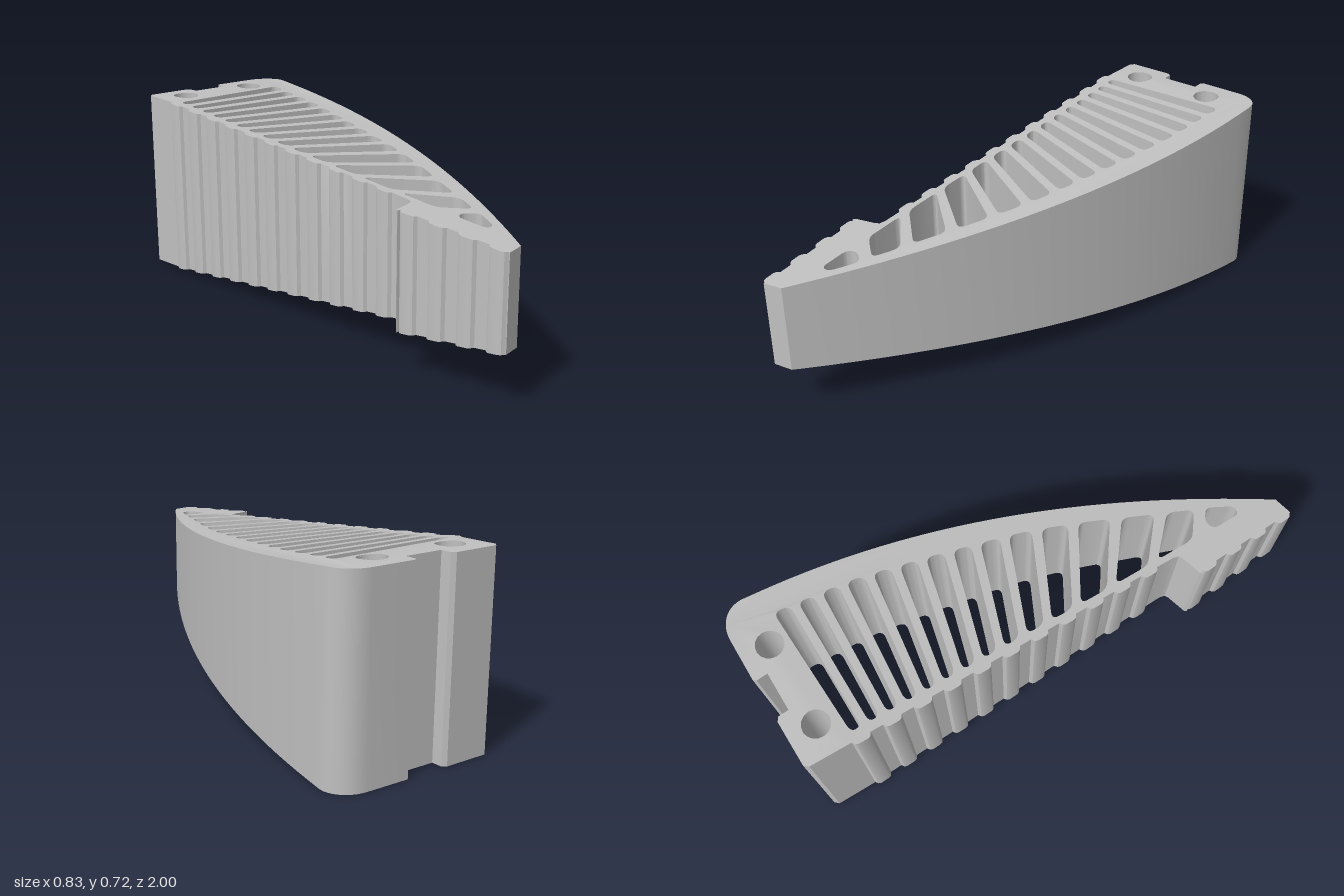
import * as THREE from 'three';
import { toCreasedNormals } from 'three/addons/utils/BufferGeometryUtils.js';

// Plan points are [x, z]; shapes are drawn with y = -z and laid flat afterwards.
const v = (x, z) => new THREE.Vector2(x, -z);

// Piecewise linear lookup in a list of [z, x] stations
function lookup(stations, z) {
  let i = 0;
  while (i < stations.length - 2 && z > stations[i + 1][0]) i++;
  const [z0, x0] = stations[i], [z1, x1] = stations[i + 1];
  return x0 + (x1 - x0) * (z - z0) / (z1 - z0);
}

// Closed path through corners, each rounded by about r
function roundedPath(corners, r) {
  const path = new THREE.Path();
  const n = corners.length;
  corners.forEach((c, i) => {
    const toward = (p) => {
      const d = p.clone().sub(c);
      return c.clone().addScaledVector(d.normalize(), Math.min(r, p.distanceTo(c) * 0.45));
    };
    const a = toward(corners[(i + n - 1) % n]);
    const b = toward(corners[(i + 1) % n]);
    if (i === 0) path.moveTo(a.x, a.y); else path.lineTo(a.x, a.y);
    path.quadraticCurveTo(c.x, c.y, b.x, b.y);
  });
  path.closePath();
  return path;
}

// Grip ridges along the straight side, running toward -z
function ridges(first, count, pitch, baseX) {
  const pts = [];
  for (let i = count - 1; i >= 0; i--) {
    const z = first + i * pitch;
    for (const [dz, out] of [[0.036, 0], [0.028, 0.012], [0.018, 0.016], [-0.018, 0.016], [-0.028, 0.012], [-0.036, 0]])
      pts.push(v(baseX(z + dz) - out, z + dz));
  }
  return pts;
}

function outline() {
  const pts = [];
  // Back edge with its notch
  for (const [x, z] of [[-0.225, -0.985], [-0.21, -1], [-0.035, -0.992], [-0.02, -0.98], [-0.02, -0.94],
    [0.13, -0.932], [0.13, -0.975], [0.14, -0.985]]) pts.push(v(x, z));
  // Rounded back corner
  pts.push(...new THREE.CubicBezierCurve(v(0.31, -0.975), v(0.37, -0.97), v(0.415, -0.93), v(0.413, -0.87)).getPoints(10));
  // Long curved side, ending at the blunt front tip
  pts.push(...new THREE.QuadraticBezierCurve(v(0.405, -0.8), v(0.303, 0.0925), v(-0.328, 0.988)).getPoints(32));
  pts.push(v(-0.4, 1));
  // Ridged nose, step, ridged straight side
  pts.push(...ridges(0.6, 4, 0.12, () => -0.399));
  pts.push(v(-0.413, 0.562), v(-0.405, 0.553), v(-0.325, 0.537), v(-0.31, 0.53), v(-0.303, 0.51));
  pts.push(...ridges(-0.79, 11, 0.119, (z) => -0.238 - 0.049 * (z + 0.8)));
  // Counter-clockwise, so that the hole walls face into the openings
  return new THREE.Shape(pts.reverse());
}

function openings() {
  const holes = [];
  // z of each rib centre at the straight side and at the curved side
  const ribLeft = [-0.824, -0.755, -0.686, -0.614, -0.54, -0.466, -0.389, -0.307, -0.22, -0.127, -0.024, 0.098, 0.249, 0.434, 0.636];
  const ribRight = [-0.816, -0.726, -0.638, -0.546, -0.45, -0.355, -0.26, -0.162, -0.064, 0.04, 0.156, 0.283, 0.429, 0.583, 0.72];
  const leftX = [[-0.83, -0.202], [0.2, -0.265], [0.8, -0.292]];
  const rightX = [[-0.82, 0.312], [-0.5, 0.265], [-0.21, 0.185], [0.1, 0.09], [0.35, -0.016], [0.49, -0.09], [0.64, -0.16], [0.74, -0.212]];
  // Half rib thickness measured along z
  const half = (i) => {
    const run = lookup(rightX, ribRight[i]) - lookup(leftX, ribLeft[i]);
    return 0.015 * Math.hypot(1, (ribRight[i] - ribLeft[i]) / run);
  };
  for (let i = 0; i < ribLeft.length - 1; i++) {
    const a = half(i), b = half(i + 1);
    const l0 = ribLeft[i] + a, l1 = ribLeft[i + 1] - b;
    const r0 = ribRight[i] + a, r1 = ribRight[i + 1] - b;
    holes.push(roundedPath([v(lookup(leftX, l0), l0), v(lookup(rightX, r0), r0),
      v(lookup(rightX, r1), r1), v(lookup(leftX, l1), l1)], 0.03));
  }
  // Small opening in the nose
  holes.push(roundedPath([v(-0.294, 0.715), v(-0.255, 0.7), v(-0.207, 0.74), v(-0.262, 0.835), v(-0.297, 0.83)], 0.025));
  // Two round mounting holes
  for (const [x, z] of [[-0.115, -0.89], [0.215, -0.872]])
    holes.push(new THREE.Path().absarc(x, -z, 0.051, 0, Math.PI * 2, true));
  return holes;
}

export function createModel() {
  const gray = new THREE.MeshStandardMaterial({ color: 0xc0c0c0 });
  gray.name = 'lightGray';

  const shape = outline();
  shape.holes.push(...openings());
  const geometry = new THREE.ExtrudeGeometry(shape, { depth: 1, bevelEnabled: false, curveSegments: 8 });
  geometry.rotateX(-Math.PI / 2);

  // Taper the height from the thick back to the thin front
  const pos = geometry.attributes.position;
  for (let i = 0; i < pos.count; i++) {
    const k = Math.max(0, (pos.getZ(i) + 0.88) / 1.88);
    const bottom = 0.2 * k, top = 0.72 - 0.19 * k;
    pos.setY(i, bottom + (top - bottom) * pos.getY(i));
  }

  const body = new THREE.Mesh(toCreasedNormals(geometry, 0.5), gray);
  body.name = 'ribbedWedgeBody';
  const group = new THREE.Group();
  group.name = 'ribbedWedge';
  group.add(body);
  return group;
}
